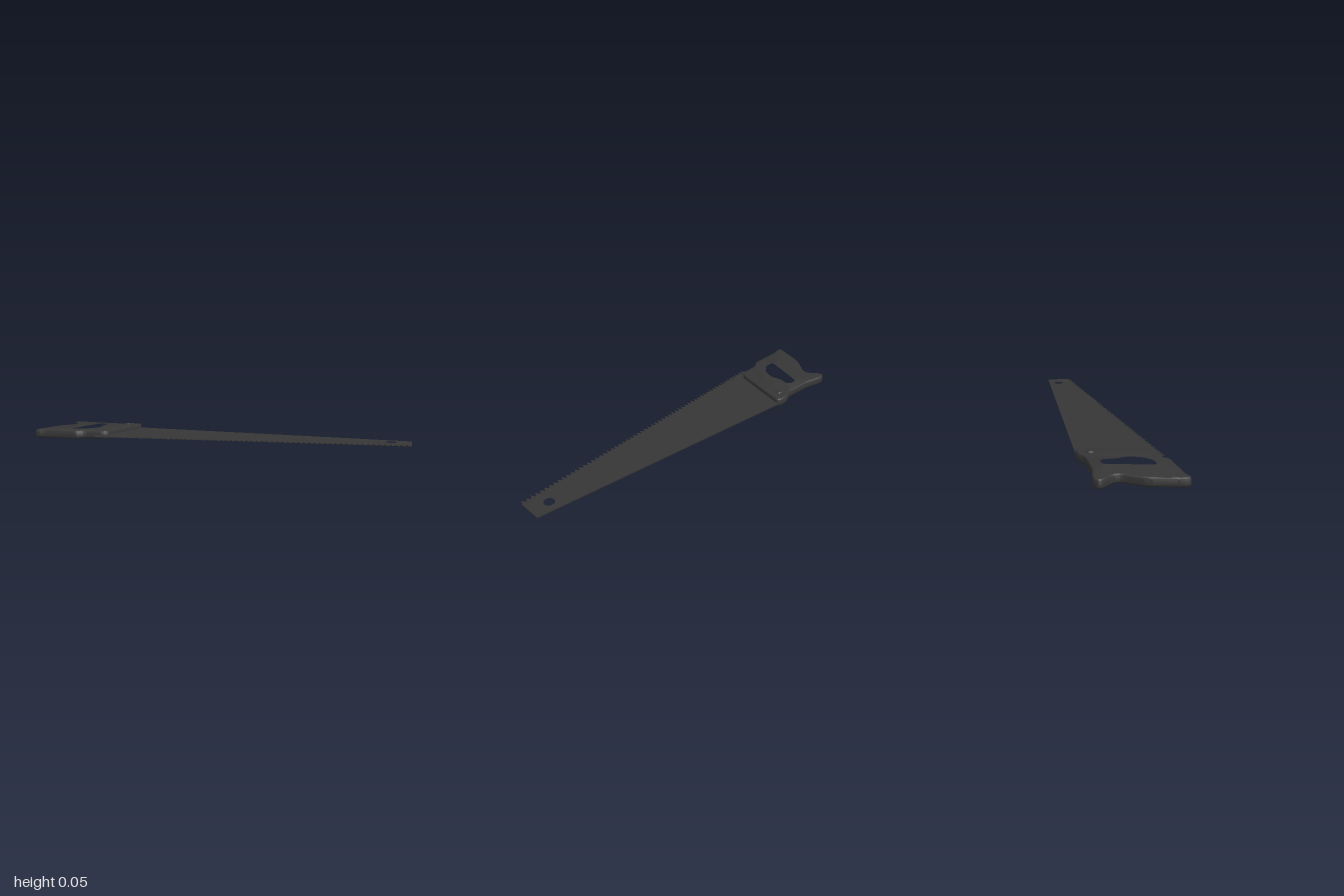
import * as THREE from 'three';
import { toCreasedNormals } from 'three/addons/utils/BufferGeometryUtils.js';

const material = new THREE.MeshStandardMaterial({ color: 0x363636 });

// Closed outline from [x, z] corners, each rounded by a quadratic of reach r
function roundedOutline(path, corners, r) {
  const pts = corners.map(([x, z]) => new THREE.Vector2(x, -z));
  const n = pts.length;
  const toward = (a, b) => {
    const d = a.distanceTo(b);
    return a.clone().lerp(b, Math.min(r, d * 0.48) / d);
  };
  pts.forEach((p, i) => {
    const a = toward(p, pts[(i + n - 1) % n]);
    const b = toward(p, pts[(i + 1) % n]);
    if (i === 0) path.moveTo(a.x, a.y);
    else path.lineTo(a.x, a.y);
    path.quadraticCurveTo(p.x, p.y, b.x, b.y);
  });
  path.closePath();
  return path;
}

function addMesh(group, name, geometry) {
  const mesh = new THREE.Mesh(geometry, material);
  mesh.name = name;
  group.add(mesh);
  return mesh;
}

// Grip with a finger opening and softly rounded edges
function handleGeometry() {
  const shape = roundedOutline(new THREE.Shape(), [
    [-0.937, -0.192], [-0.92, -0.209], [-0.885, -0.209], [-0.8, -0.187],
    [-0.636, -0.18], [-0.588, -0.206], [-0.535, -0.203], [-0.517, -0.19],
    [-0.588, 0.128], [-0.61, 0.15], [-0.727, 0.155], [-0.749, 0.182],
    [-0.941, 0.182], [-0.984, 0.194], [-1.002, 0.178], [-0.989, 0.128],
    [-0.957, 0.01], [-0.886, -0.09], [-0.891, -0.123], [-0.932, -0.17],
  ], 0.025);
  shape.holes.push(roundedOutline(new THREE.Path(), [
    [-0.77, -0.128], [-0.749, -0.144], [-0.706, -0.141], [-0.684, -0.112],
    [-0.695, -0.059], [-0.677, -0.005], [-0.7, 0.064], [-0.754, 0.112],
    [-0.818, 0.112], [-0.831, 0.09],
  ], 0.022));
  const bevel = 0.011;
  const geo = new THREE.ExtrudeGeometry(shape, {
    depth: 0.046 - 2 * bevel, bevelThickness: bevel, bevelSize: bevel,
    bevelOffset: -bevel, bevelSegments: 4, curveSegments: 5,
  });
  geo.rotateX(-Math.PI / 2);
  geo.translate(0, bevel, 0);
  return toCreasedNormals(geo, 0.7);
}

// Thin tapered plate with a toothed edge and a hanging hole
function bladeGeometry() {
  const y0 = 0.015, y1 = 0.022, teeth = 62, xa = -0.65, xb = 1, toothDepth = 0.026;
  const tipZ = (x) => THREE.MathUtils.mapLinear(x, xa, xb, 0.2, 0.097);
  const step = (xb - xa) / teeth;
  const shape = new THREE.Shape();
  shape.moveTo(-0.56, 0.19);
  shape.lineTo(-0.53, 0.2);
  shape.lineTo(xb, 0.05);
  for (let i = teeth; i > 0; i--) {
    const x = xa + i * step;
    shape.lineTo(x, -tipZ(x) + toothDepth);
    shape.lineTo(x - step / 2, -tipZ(x - step / 2));
  }
  shape.lineTo(xa, -tipZ(xa) + toothDepth);
  shape.lineTo(-0.665, -0.172);
  shape.lineTo(-0.66, -0.14);
  shape.lineTo(-0.62, -0.12);
  const hole = new THREE.Path();
  hole.absarc(0.898, 0, 0.027, 0, Math.PI * 2, true);
  shape.holes.push(hole);

  const geo = new THREE.ExtrudeGeometry(shape, { depth: y1 - y0, bevelEnabled: false, curveSegments: 24 });
  geo.rotateX(-Math.PI / 2);
  geo.translate(0, y0, 0);
  // Sharpen the tooth tips toward the middle of the plate
  const p = geo.attributes.position, mid = (y0 + y1) / 2;
  for (let i = 0; i < p.count; i++) {
    if (p.getX(i) > xa && p.getZ(i) > tipZ(p.getX(i)) - 0.004) {
      p.setY(i, mid + (p.getY(i) - mid) * 0.15);
    }
  }
  return toCreasedNormals(geo, 0.4);
}

// Low domed rivet head
function rivetGeometry() {
  const profile = [[0.0185, -0.004], [0.0185, 0.002], [0.016, 0.005], [0.01, 0.007], [0, 0.0075]]
    .map(([r, y]) => new THREE.Vector2(r, y));
  return toCreasedNormals(new THREE.LatheGeometry(profile, 24), 0.7);
}

export function createModel() {
  const saw = new THREE.Group();
  saw.name = 'handSaw';
  addMesh(saw, 'handle', handleGeometry());
  addMesh(saw, 'blade', bladeGeometry());
  addMesh(saw, 'rivet', rivetGeometry()).position.set(-0.588, 0.046, -0.144);
  return saw;
}
